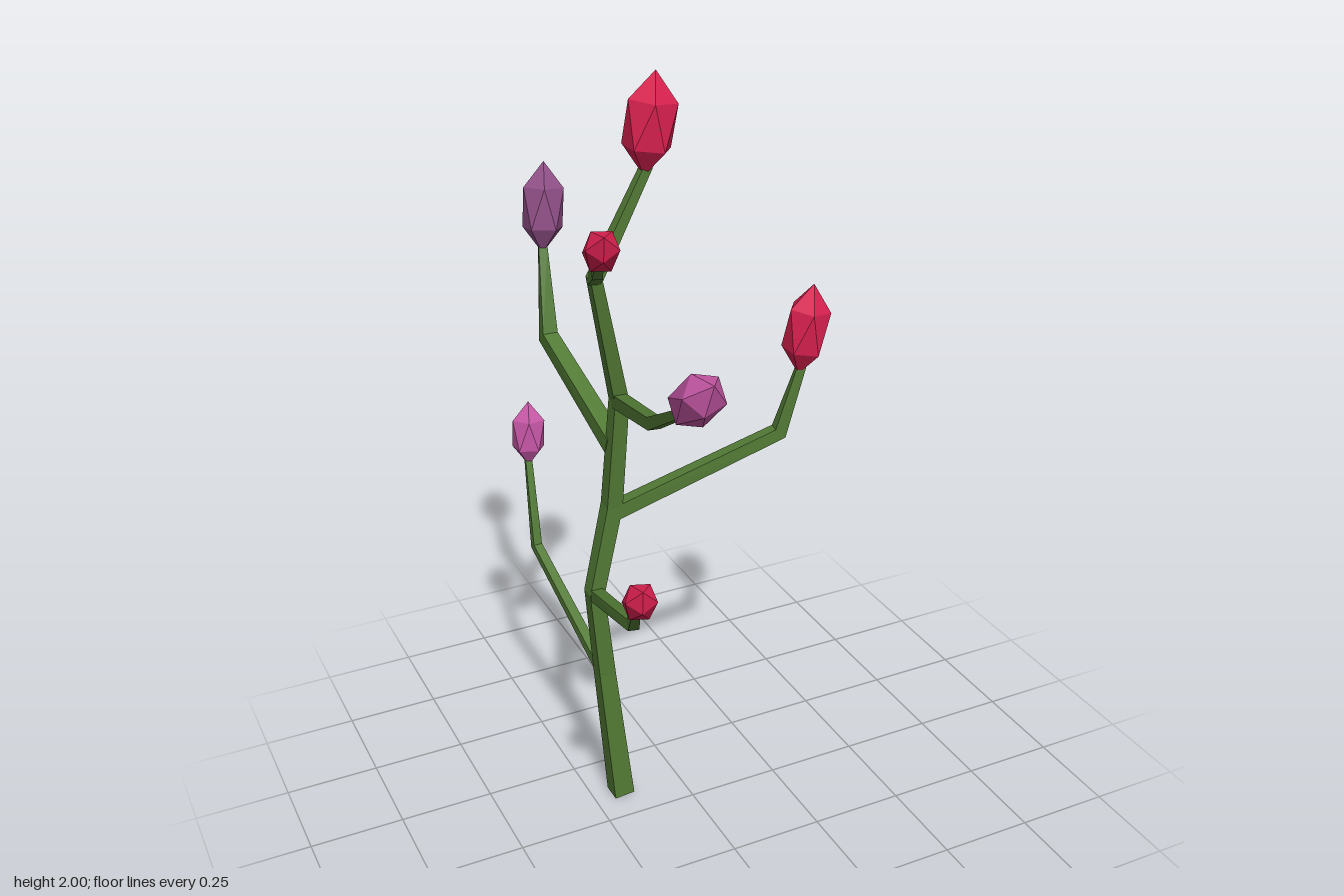
import * as THREE from 'three';

const material = (name, color) => {
  const m = new THREE.MeshStandardMaterial({ color });
  m.name = name;
  return m;
};

// Square-section stem through points [x, y, z, width], mitred at the bends
function stemGeometry(path, reference) {
  const pts = path.map(p => new THREE.Vector3(p[0], p[1], p[2]));
  const verts = [], index = [], last = pts.length - 1;
  pts.forEach((p, i) => {
    const a = pts[Math.min(i + 1, last)].clone().sub(pts[Math.min(i, last - 1)]).normalize();
    const b = pts[Math.max(i, 1)].clone().sub(pts[Math.max(i - 1, 0)]).normalize();
    const dir = a.clone().add(b).normalize();
    const u = new THREE.Vector3().crossVectors(dir, reference).normalize();
    const v = new THREE.Vector3().crossVectors(dir, u);
    const h = path[i][3] / 2, mitre = h / dir.dot(a);
    for (const [s, t] of [[-1, -1], [1, -1], [1, 1], [-1, 1]]) {
      verts.push(...p.clone().addScaledVector(u, s * h).addScaledVector(v, t * mitre).toArray());
    }
  });
  for (let i = 0; i < last; i++) {
    for (let k = 0; k < 4; k++) {
      const a = i * 4 + k, b = i * 4 + (k + 1) % 4;
      index.push(a, b, b + 4, a, b + 4, a + 4);
    }
  }
  const e = last * 4;
  index.push(0, 2, 1, 0, 3, 2, e, e + 1, e + 2, e, e + 2, e + 3);
  const indexed = new THREE.BufferGeometry();
  indexed.setAttribute('position', new THREE.Float32BufferAttribute(verts, 3));
  indexed.setIndex(index);
  const g = indexed.toNonIndexed();
  g.computeVertexNormals();
  return g;
}

// Faceted bud: an icosahedron standing on a corner, stretched between two tips
function budMesh(name, base, tip, radius, mat) {
  const a = new THREE.Vector3(...base), b = new THREE.Vector3(...tip);
  const axis = b.clone().sub(a);
  const g = new THREE.IcosahedronGeometry(1, 0);
  g.rotateZ(Math.atan(2 / (1 + Math.sqrt(5))));
  g.scale(radius, axis.length() / 2, radius);
  g.computeVertexNormals();
  const mesh = new THREE.Mesh(g, mat);
  mesh.name = name;
  mesh.position.copy(a).add(b).multiplyScalar(0.5);
  mesh.quaternion.setFromUnitVectors(new THREE.Vector3(0, 1, 0), axis.normalize());
  return mesh;
}

export function createModel() {
  const group = new THREE.Group();
  group.name = 'buddingBranch';
  const green = material('stem green', 0x527a35);
  const red = material('bud red', 0xd8204f);
  const pink = material('bud pink', 0xc456a4);
  const purple = material('bud purple', 0x8f4f86);

  // Main stem with the crowning bud
  const trunk = new THREE.Mesh(stemGeometry([
    [-0.17, 0, -0.105, 0.056], [-0.205, 0.4, -0.113, 0.045], [-0.232, 0.66, -0.1, 0.04],
    [-0.178, 0.9, -0.1, 0.042], [-0.165, 1.2, -0.07, 0.038],
    [-0.243, 1.54, -0.015, 0.03], [-0.11, 1.79, -0.01, 0.022],
  ], new THREE.Vector3(0, 0, 1)), green);
  trunk.name = 'mainStem';
  group.add(trunk);
  group.add(budMesh('topBud', [-0.118, 1.765, -0.01], [-0.087, 2, -0.008], 0.066, red));

  // Side branches: path, then bud base, tip, radius and colour
  const branches = [
    ['lowBack', [[-0.205, 0.39, -0.11, 0.028], [-0.24, 0.595, -0.495, 0.024], [-0.232, 0.84, -0.55, 0.018]],
      [-0.232, 0.82, -0.548], [-0.218, 1, -0.567], 0.05, pink],
    ['lowFront', [[-0.232, 0.655, -0.1, 0.032], [-0.258, 0.74, 0.2, 0.028], [-0.312, 0.88, 0.345, 0.018]],
      [-0.31, 0.87, 0.34], [-0.336, 0.98, 0.437], 0.043, red],
    ['leftSide', [[-0.178, 0.88, -0.1, 0.038], [0.26, 1.04, -0.035, 0.032], [0.308, 1.22, -0.015, 0.022]],
      [0.3, 1.2, -0.015], [0.333, 1.435, -0.008], 0.06, red],
    ['highBack', [[-0.17, 1.07, -0.095, 0.045], [-0.188, 1.22, -0.47, 0.04], [-0.172, 1.45, -0.525, 0.022]],
      [-0.175, 1.43, -0.52], [-0.15, 1.66, -0.552], 0.06, purple],
    ['highFront', [[-0.168, 1.2, -0.07, 0.034], [-0.205, 1.268, 0.215, 0.03], [-0.243, 1.4, 0.45, 0.02]],
      [-0.243, 1.39, 0.435], [-0.25, 1.525, 0.605], 0.056, pink],
    ['topFront', [[-0.243, 1.54, -0.015, 0.028], [-0.298, 1.61, 0.135, 0.024], [-0.32, 1.66, 0.2, 0.018]],
      [-0.315, 1.65, 0.183], [-0.347, 1.75, 0.295], 0.043, red],
  ];
  for (const [name, path, base, tip, radius, mat] of branches) {
    const stem = new THREE.Mesh(stemGeometry(path, new THREE.Vector3(0, 1, 0)), green);
    stem.name = name + 'Branch';
    group.add(stem, budMesh(name + 'Bud', base, tip, radius, mat));
  }
  return group;
}
